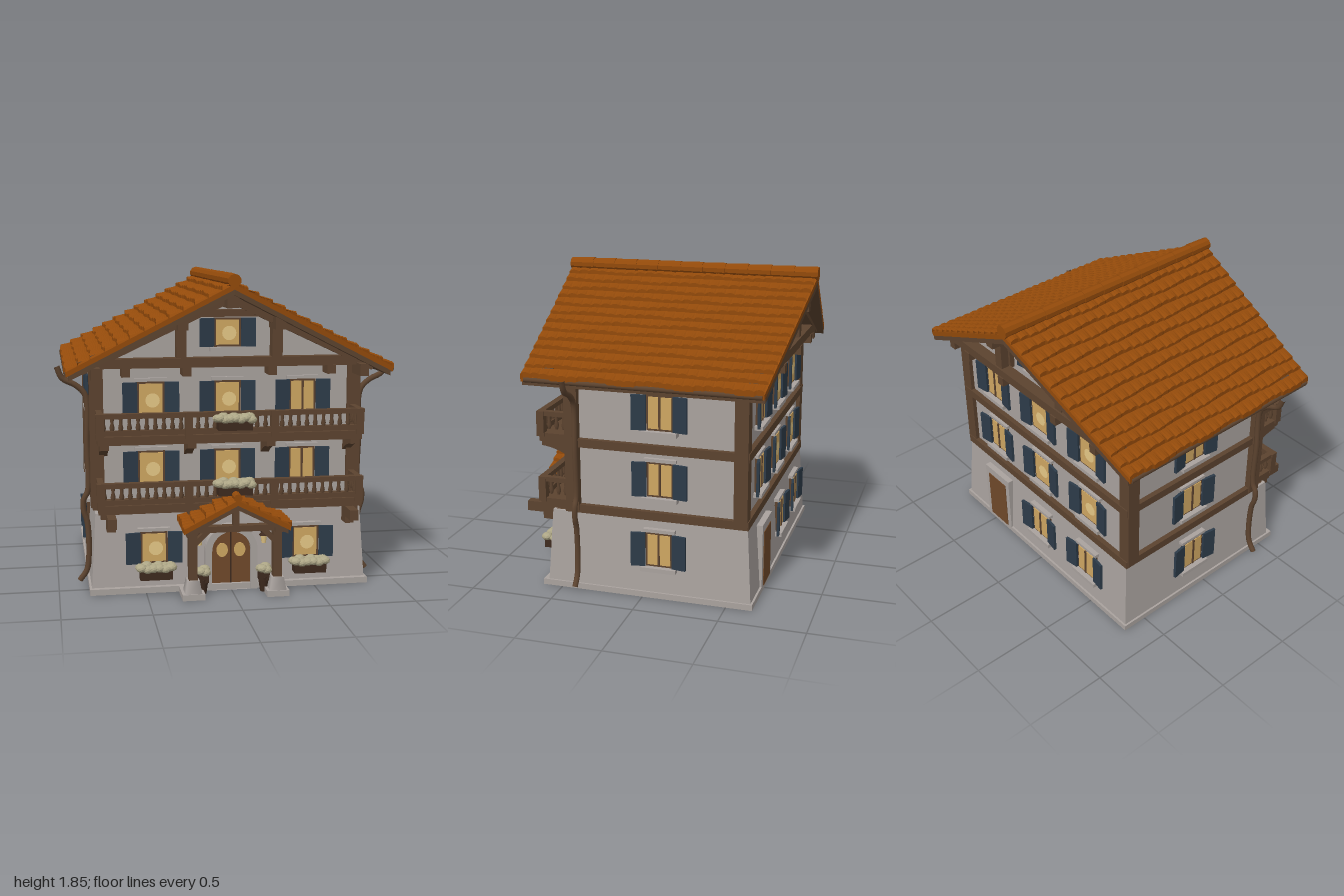
import * as THREE from 'three';

const mat = (name, color, extra = {}) => Object.assign(new THREE.MeshStandardMaterial({ color, ...extra }), { name });
const M = {
  wall: mat('plaster', 0xa9a29e),
  roof: mat('roof tile', 0x934a0a, { side: THREE.DoubleSide, flatShading: true }),
  wood: mat('timber', 0x5c432f),
  door: mat('door wood', 0x70492a),
  glass: mat('window glow', 0xcfa762),
  lamp: mat('lamp glow', 0xe6c886),
  shutter: mat('shutter slate', 0x2d3b49),
  flower: mat('pale blossom', 0xada686, { flatShading: true }),
  dark: mat('dark timber', 0x3e2a1e),
};

function add(parent, name, geo, material, x = 0, y = 0, z = 0) {
  const m = new THREE.Mesh(geo, material);
  m.name = name;
  m.position.set(x, y, z);
  parent.add(m);
  return m;
}
const box = (p, name, material, w, h, d, x, y, z) => add(p, name, new THREE.BoxGeometry(w, h, d), material, x, y, z);

// Straight timber between two points lying in a plane of constant z
function beam(p, name, x0, y0, x1, y1, z, h, d) {
  const m = box(p, name, M.wood, Math.hypot(x1 - x0, y1 - y0), h, d, (x0 + x1) / 2, (y0 + y1) / 2, z);
  m.rotation.z = Math.atan2(y1 - y0, x1 - x0);
  return m;
}

// Hollow rectangular ring standing on y = 0, optionally flaring towards the ground
function ring(hw, z0, z1, t, h, flare = 0) {
  const s = new THREE.Shape([[-hw, -z1], [hw, -z1], [hw, -z0], [-hw, -z0]].map(a => new THREE.Vector2(...a)));
  s.holes.push(new THREE.Path([[-hw + t, -z1 + t], [-hw + t, -z0 - t], [hw - t, -z0 - t], [hw - t, -z1 + t]].map(a => new THREE.Vector2(...a))));
  const g = new THREE.ExtrudeGeometry(s, { depth: h, bevelEnabled: false }).rotateX(-Math.PI / 2);
  const pos = g.attributes.position;
  for (let i = 0; i < pos.count; i++) {
    const k = flare * (1 - pos.getY(i) / h);
    pos.setX(i, pos.getX(i) + Math.sign(pos.getX(i)) * k);
    pos.setZ(i, pos.getZ(i) + Math.sign(pos.getZ(i)) * k);
  }
  g.computeVertexNormals();
  return g;
}

// Gable roof: wooden deck, tile bed, overlapping wavy tile courses and ridge cap
function gableRoof(p, name, { w, top, slope, front, back, rows, tiles, deck, cap }) {
  const g = new THREE.Group();
  g.name = name;
  p.add(g);
  const layer = (drop, thick, hw) => {
    const y = x => top - drop - slope * x;
    const s = new THREE.Shape([[0, y(0)], [-hw, y(hw)], [-hw, y(hw) - thick], [0, y(0) - thick], [hw, y(hw) - thick], [hw, y(hw)]].map(a => new THREE.Vector2(...a)));
    const geo = new THREE.ExtrudeGeometry(s, { depth: 1, bevelEnabled: false });
    const pos = geo.attributes.position;
    for (let i = 0; i < pos.count; i++) {
      const x = Math.abs(pos.getX(i));
      pos.setZ(i, THREE.MathUtils.lerp(back(x), front(x), pos.getZ(i)));
    }
    geo.computeVertexNormals();
    return geo;
  };
  add(g, 'tileBed', layer(0.005, 0.03, w - 0.005), M.roof);
  add(g, 'roofDeck', layer(0.035, deck, w - 0.02), M.wood);
  const verts = [], idx = [], n = tiles * 4;
  for (const s of [-1, 1]) for (let r = 0; r < rows; r++) {
    const start = verts.length / 3;
    for (let i = 0; i <= n; i++) {
      const wave = 0.009 * Math.abs(Math.sin(i * Math.PI / 4));
      const jitter = 0.006 * Math.sin(Math.floor(i / 4) * 7.3 + r * 4.1 + s);
      const x0 = w * r / rows, x1 = Math.min(w * (r + 1) / rows + jitter, w + 0.004);
      for (const [x, lift] of [[x0, 0], [x1, 0.014 + wave], [x1, -0.015]])
        verts.push(s * x, top - slope * x + lift, THREE.MathUtils.lerp(back(x), front(x), i / n));
    }
    for (let i = 0; i < n; i++) for (let k = 0; k < 2; k++) {
      const a = start + i * 3 + k, b = a + 1, c = a + 3, d = a + 4;
      idx.push(...(s > 0 ? [a, c, b, b, c, d] : [a, b, c, b, d, c]));
    }
  }
  const geo = new THREE.BufferGeometry();
  geo.setAttribute('position', new THREE.Float32BufferAttribute(verts, 3));
  geo.setIndex(idx);
  geo.computeVertexNormals();
  add(g, 'tileCourses', geo, M.roof);
  const len = front(0) - back(0), caps = Math.round(len / 0.14);
  for (let i = 0; i < caps; i++)
    add(g, 'ridgeCap', new THREE.CylinderGeometry(cap * 0.9, cap, len / caps + 0.01, 10).rotateX(Math.PI / 2), M.roof, 0, top + cap * 0.35, back(0) + len * (i + 0.5) / caps);
}

// Window facing +z with frame, glass, sill and a pair of open shutters
function windowUnit(p, x, y, z, ry, w, h, mullion) {
  const g = new THREE.Group();
  g.name = 'window';
  g.position.set(x, y, z);
  g.rotation.y = ry;
  p.add(g);
  box(g, 'windowFrame', M.wood, w + 0.02, h + 0.02, 0.02, 0, 0, 0.002);
  box(g, 'windowGlass', M.glass, w - 0.005, h - 0.005, 0.13, 0, 0, -0.048);
  if (mullion) box(g, 'mullion', M.wood, 0.012, h, 0.012, 0, 0, 0.017);
  else add(g, 'lampGlow', new THREE.CircleGeometry(0.042, 16), M.lamp, 0.01, -0.005, 0.0185);
  box(g, 'windowSill', M.wall, w + 0.07, 0.025, 0.05, 0, -h / 2 - 0.022, 0.02);
  box(g, 'windowLintel', M.wall, w + 0.05, 0.02, 0.03, 0, h / 2 + 0.02, 0.005);
  for (const s of [-1, 1]) {
    const sh = box(g, 'shutter', M.shutter, 0.085, h + 0.015, 0.016, s * (w / 2 + 0.052), 0, 0.026);
    sh.rotation.y = -s * 0.15;
  }
}

// Mound of blossoms over a planter
function planter(p, x, y, z, w, d) {
  const g = new THREE.Group();
  g.name = 'flowerBox';
  g.position.set(x, y, z);
  p.add(g);
  box(g, 'planterBox', M.dark, w * 0.85, 0.05, d * 0.75, 0, 0, 0);
  const n = Math.max(2, Math.round(w / 0.035));
  for (let i = 0; i < n; i++) for (const s of [-1, 1]) {
    const b = add(g, 'blossoms', new THREE.IcosahedronGeometry(0.034, 1), M.flower, (i / (n - 1) - 0.5) * (w - 0.05), 0.04 + 0.006 * Math.sin(i * 2.7 + s), s * d * 0.24);
    b.scale.set(1, 0.72, 1);
  }
}

// Balcony with deck, beams, turned balusters and brackets
function balcony(p, y) {
  const g = new THREE.Group();
  g.name = 'balcony';
  p.add(g);
  box(g, 'balconyDeck', M.wood, 1.54, 0.05, 0.2, 0, y, 0.54);
  box(g, 'lowerRail', M.wood, 1.54, 0.03, 0.03, 0, y + 0.045, 0.63);
  box(g, 'handRail', M.wood, 1.56, 0.028, 0.04, 0, y + 0.142, 0.63);
  const profile = [[0.008, 0], [0.015, 0.025], [0.009, 0.05], [0.012, 0.09]].map(a => new THREE.Vector2(...a));
  const baluster = new THREE.LatheGeometry(profile, 8);
  for (let i = 0; i < 31; i++) add(g, 'baluster', baluster, M.wood, -0.735 + i * 0.049, y + 0.05, 0.63);
  for (const x of [-0.755, -0.25, 0.25, 0.755]) box(g, 'railPost', M.wood, 0.045, 0.15, 0.045, x, y + 0.08, 0.63);
  for (const s of [-1, 1]) {
    box(g, 'sideRail', M.wood, 0.035, 0.028, 0.19, s * 0.755, y + 0.142, 0.54);
    for (let i = 0; i < 3; i++) add(g, 'baluster', baluster, M.wood, s * 0.755, y + 0.05, 0.49 + i * 0.045);
  }
  const s = new THREE.Shape();
  s.moveTo(0, 0);
  s.lineTo(0.18, 0);
  s.lineTo(0.18, -0.035);
  s.quadraticCurveTo(0.08, -0.045, 0, -0.1);
  const bracket = new THREE.ExtrudeGeometry(s, { depth: 0.05, bevelEnabled: false }).rotateY(-Math.PI / 2);
  for (const x of [-0.73, -0.23, 0.23, 0.73]) add(g, 'balconyBracket', bracket, M.wood, x + 0.025, y - 0.02, 0.45);
}

function archShape(r, straight) {
  const s = new THREE.Shape();
  s.moveTo(-r, 0);
  s.lineTo(r, 0);
  s.lineTo(r, straight);
  s.absarc(0, straight, r, 0, Math.PI, false);
  s.lineTo(-r, 0);
  return s;
}

export function createModel() {
  const house = new THREE.Group();
  house.name = 'chalet';

  // Masonry
  add(house, 'groundFloorWalls', ring(0.785, -0.615, 0.56, 0.04, 0.47, 0.03), M.wall);
  add(house, 'plinth', ring(0.825, -0.655, 0.62, 0.05, 0.035), M.wall);
  box(house, 'groundFloorCeiling', M.wood, 1.54, 0.02, 1.15, 0, 0.46, -0.03);
  const body = new THREE.Shape([[-0.765, 0.47], [0.765, 0.47], [0.765, 1.34], [0, 1.73], [-0.765, 1.34]].map(a => new THREE.Vector2(...a)));
  add(house, 'upperWalls', new THREE.ExtrudeGeometry(body, { depth: 1.04, bevelEnabled: false }), M.wall, 0, 0, -0.59);

  // Timber frame
  for (const y of [0.47, 0.87]) add(house, 'floorBand', ring(0.795, -0.62, 0.475, 0.05, 0.05), M.wood, 0, y, 0);
  for (const s of [-1, 1]) {
    box(house, 'cornerPost', M.wood, 0.08, 0.83, 0.08, s * 0.765, 0.9, 0.43);
    box(house, 'cornerPost', M.wood, 0.08, 0.83, 0.08, s * 0.765, 0.9, -0.575);
    box(house, 'eavePlate', M.wood, 0.05, 0.07, 1.34, s * 0.775, 1.285, -0.02);
    box(house, 'purlin', M.wood, 0.06, 0.07, 1.38, s * 0.28, 1.56, -0.05);
    box(house, 'balconyBeam', M.wood, 0.05, 0.06, 0.29, s * 0.7, 0.45, 0.605);
    box(house, 'balconyCorbel', M.wood, 0.05, 0.06, 0.1, s * 0.7, 0.41, 0.6);
  }
  box(house, 'ridgePurlin', M.wood, 0.07, 0.08, 1.44, 0, 1.69, -0.05);

  // Gable trusses
  for (const [z, wallZ] of [[0.53, 0.465], [-0.66, -0.605]]) {
    box(house, 'tieBeam', M.wood, 1.62, 0.055, 0.07, 0, 1.335, z);
    box(house, 'collarBeam', M.wood, 0.5, 0.04, 0.05, 0, 1.615, z);
    for (const s of [-1, 1]) {
      beam(house, 'gableRafter', s * 0.86, 1.31, 0, 1.715, z, 0.075, 0.07);
      box(house, 'gablePost', M.wood, 0.06, 0.22, 0.05, s * 0.28, 1.45, z);
      box(house, 'wallPost', M.wood, 0.05, 0.2, 0.03, s * 0.28, 1.44, wallZ);
      for (const x of [0.25, 0.6]) box(house, 'beamEnd', M.wood, 0.05, 0.055, 0.14, s * x, 1.285, (z + wallZ) / 2);
    }
  }

  // Main roof with gutters and downpipes
  gableRoof(house, 'mainRoof', { w: 0.945, top: 1.79, slope: 0.51, front: x => 0.71 - 0.05 * x, back: x => -0.83 + 0.11 * x, rows: 13, tiles: 25, deck: 0.03, cap: 0.042 });
  for (const s of [-1, 1]) {
    add(house, 'gutter', new THREE.CylinderGeometry(0.016, 0.016, 1.36, 8).rotateX(Math.PI / 2), M.wood, s * 0.935, 1.288, -0.035);
    const pts = [[0.985, 1.31], [0.955, 1.24], [0.88, 1.2], [0.825, 1.14], [0.82, 0.85], [0.82, 0.57], [0.845, 0.52], [0.845, 0.45], [0.825, 0.38], [0.83, 0.1], [0.875, 0.03]];
    const path = new THREE.CatmullRomCurve3(pts.map(([x, y]) => new THREE.Vector3(s * x, y, 0.4)));
    add(house, 'downpipe', new THREE.TubeGeometry(path, 60, 0.017, 8), M.wood);
  }

  // Windows on every side
  for (const x of [-0.45, 0, 0.45]) {
    for (const y of [0.71, 1.115]) {
      windowUnit(house, x, y, 0.455, 0, 0.14, 0.19, x > 0);
      windowUnit(house, x, y, -0.595, Math.PI, 0.14, 0.19, x > 0);
    }
    if (x) windowUnit(house, x, 0.265, 0.575, 0, 0.14, 0.17, false);
    if (x < 0.4) windowUnit(house, x, 0.29, -0.63, Math.PI, 0.14, 0.18, true);
  }
  windowUnit(house, 0, 1.5, 0.455, 0, 0.14, 0.15, false);
  windowUnit(house, 0, 1.5, -0.595, Math.PI, 0.14, 0.15, true);
  for (const s of [-1, 1]) for (const [y, x] of [[0.3, 0.8], [0.715, 0.77], [1.11, 0.77]])
    windowUnit(house, s * x, y, -0.1, s * Math.PI / 2, 0.14, 0.19, true);

  // Back door
  box(house, 'backDoorFrame', M.wall, 0.25, 0.4, 0.05, 0.45, 0.22, -0.63);
  box(house, 'backDoor', M.door, 0.18, 0.34, 0.05, 0.45, 0.2, -0.634);

  // Balconies and flowers
  balcony(house, 0.505);
  balcony(house, 0.905);
  planter(house, 0, 0.62, 0.72, 0.23, 0.12);
  planter(house, 0, 0.995, 0.72, 0.23, 0.12);
  for (const s of [-1, 1]) planter(house, s * 0.45, 0.135, 0.69, 0.22, 0.11);

  // Arched entrance
  const surround = archShape(0.155, 0.235);
  surround.holes.push(archShape(0.115, 0.235));
  add(house, 'doorSurround', new THREE.ExtrudeGeometry(surround, { depth: 0.07, bevelEnabled: false }), M.wall, 0, 0, 0.56);
  add(house, 'frontDoor', new THREE.ExtrudeGeometry(archShape(0.117, 0.235), { depth: 0.065, bevelEnabled: false }), M.door, 0, 0.005, 0.535);
  box(house, 'doorSeam', M.dark, 0.008, 0.34, 0.008, 0, 0.175, 0.6);
  for (const s of [-1, 1]) {
    const pane = add(house, 'doorPane', new THREE.CylinderGeometry(0.034, 0.034, 0.008, 18).rotateX(Math.PI / 2), M.glass, s * 0.052, 0.235, 0.601);
    pane.scale.y = 1.25;
  }

  // Porch
  gableRoof(house, 'porchRoof', { w: 0.31, top: 0.59, slope: 0.51, front: () => 0.84, back: () => 0.56, rows: 5, tiles: 5, deck: 0.025, cap: 0.026 });
  box(house, 'porchBeam', M.wood, 0.54, 0.035, 0.05, 0, 0.405, 0.75);
  box(house, 'porchKingPost', M.wood, 0.035, 0.13, 0.04, 0, 0.475, 0.76);
  for (const s of [-1, 1]) {
    box(house, 'porchPost', M.wood, 0.05, 0.32, 0.055, s * 0.245, 0.26, 0.74);
    box(house, 'porchSideBeam', M.wood, 0.045, 0.04, 0.26, s * 0.245, 0.405, 0.68);
    beam(house, 'porchBrace', s * 0.235, 0.32, s * 0.16, 0.395, 0.75, 0.03, 0.035);
    const foot = add(house, 'porchFoot', new THREE.CylinderGeometry(0.05, 0.075, 0.1, 4).rotateY(Math.PI / 4), M.wall, s * 0.245, 0.06, 0.74);
    foot.scale.z = 1.1;
    box(house, 'footSlab', M.wall, 0.13, 0.035, 0.2, s * 0.245, 0.018, 0.7);
    planter(house, s * 0.18, 0.1, 0.69, 0.075, 0.08);
    add(house, 'flowerPot', new THREE.CylinderGeometry(0.035, 0.022, 0.09, 8), M.dark, s * 0.18, 0.05, 0.69);
    // Wall lantern
    add(house, 'lanternGlass', new THREE.CylinderGeometry(0.02, 0.014, 0.045, 6), M.lamp, s * 0.19, 0.3, 0.63);
    add(house, 'lanternCap', new THREE.ConeGeometry(0.03, 0.028, 6), M.dark, s * 0.19, 0.337, 0.63);
    box(house, 'lanternArm', M.dark, 0.012, 0.012, 0.07, s * 0.19, 0.33, 0.595);
  }
  return house;
}
